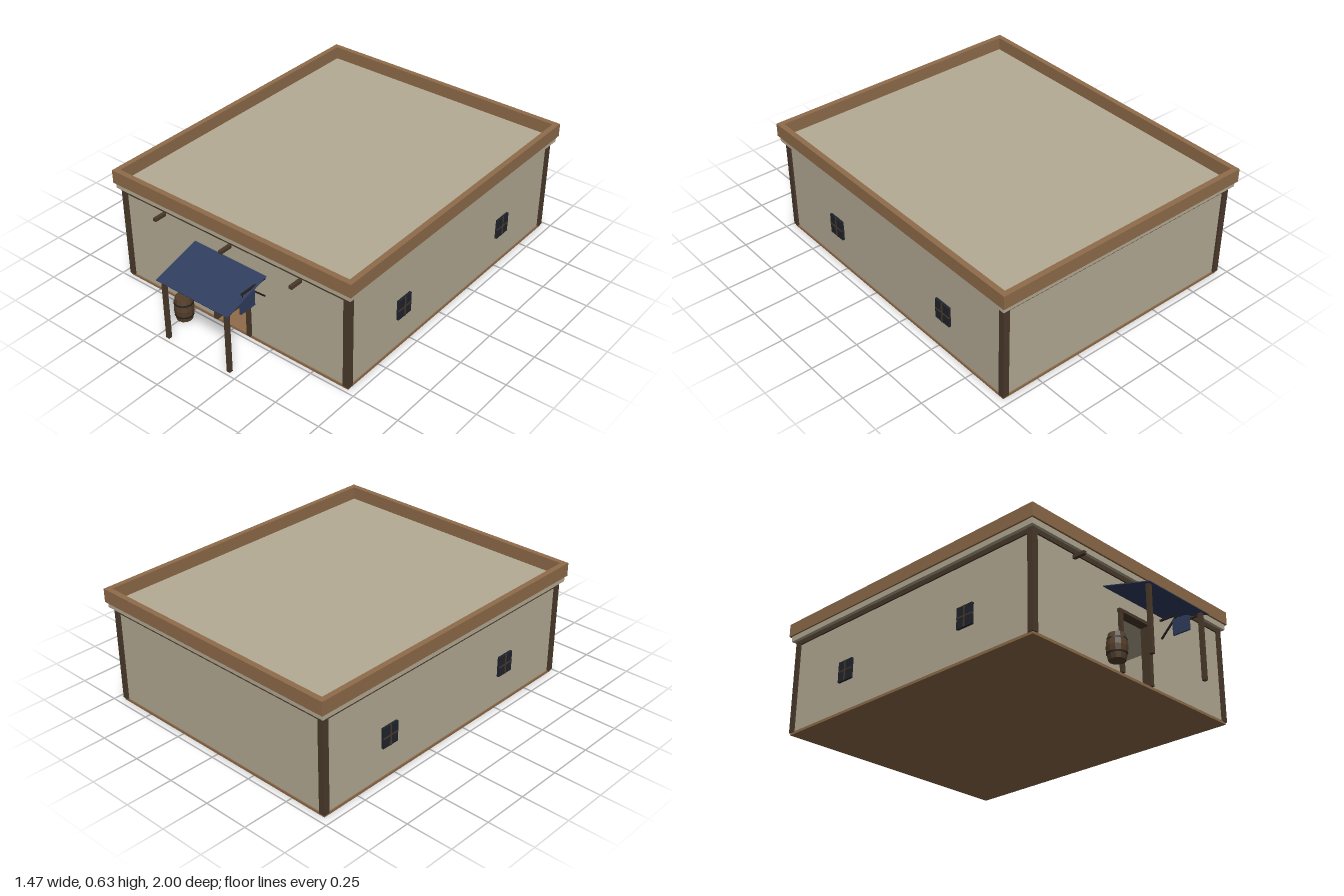
import * as THREE from 'three';

const mat = (name, color) => Object.assign(new THREE.MeshStandardMaterial({ color }), { name });

export function createModel() {
  const plaster = mat('plaster', 0xb5ab95);
  const wood = mat('wood', 0x8f6c4a);
  const darkWood = mat('dark wood', 0x4a392b);
  const blue = mat('blue cloth', 0x303d5f);
  const glass = mat('window glass', 0x20242c);
  const iron = mat('iron', 0x25221f);
  const barrelWood = mat('barrel wood', 0x553f2a);
  barrelWood.flatShading = true;

  const model = new THREE.Group();
  model.name = 'tavern';

  // Box given by its minimum and maximum corners
  function box(name, material, [x0, y0, z0], [x1, y1, z1], parent = model) {
    const mesh = new THREE.Mesh(new THREE.BoxGeometry(x1 - x0, y1 - y0, z1 - z0), material);
    mesh.position.set((x0 + x1) / 2, (y0 + y1) / 2, (z0 + z1) / 2);
    mesh.name = name;
    parent.add(mesh);
    return mesh;
  }
  // Square bar between two points in a plane of constant x
  function bar(name, material, x, [y0, z0], [y1, z1], size, parent = model) {
    const length = Math.hypot(y1 - y0, z1 - z0);
    const mesh = new THREE.Mesh(new THREE.BoxGeometry(size, size, length), material);
    mesh.position.set(x, (y0 + y1) / 2, (z0 + z1) / 2);
    mesh.rotation.x = -Math.atan2(y1 - y0, z1 - z0);
    mesh.name = name;
    parent.add(mesh);
    return mesh;
  }

  // Floor and hollow walls
  box('floor', wood, [-0.705, 0, -0.965], [0.705, 0.014, 0.73]);
  const W = 0.7, B = -0.96, F = 0.725, T = 0.53, t = 0.03;
  box('backWall', plaster, [-W, 0.014, B], [W, T, B + t]);
  for (const s of [-1, 1]) {
    const a = s < 0 ? -W : W - t;
    box('sideWall', plaster, [a, 0.014, B + t], [a + t, T, F - t]);
    const f = s < 0 ? -W : 0.1;
    box('frontWall', plaster, [f, 0.014, F - t], [f + W - 0.1, T, F]);
  }
  box('wallOverDoor', plaster, [-0.1, 0.33, F - t], [0.1, T, F]);

  // Corner posts and top beams
  for (const x of [-0.71, 0.677])
    for (const z of [-0.97, 0.702]) box('cornerPost', darkWood, [x, 0.012, z], [x + 0.033, T, z + 0.033]);
  for (const x of [-0.708, 0.678]) box('sideBeam', darkWood, [x, 0.505, -0.968], [x + 0.03, T, 0.733]);
  for (const z of [-0.968, 0.703]) box('endBeam', darkWood, [-0.677, 0.505, z], [0.677, T, z + 0.03]);

  // Roof slab with raised rim
  box('roof', plaster, [-0.728, T, -0.988], [0.728, 0.562, 0.75]);
  for (const x of [-0.737, 0.708]) box('parapetSide', wood, [x, 0.56, -1], [x + 0.029, 0.632, 0.76]);
  for (const z of [-1, 0.731]) box('parapetEnd', wood, [-0.708, 0.56, z], [0.708, 0.632, z + 0.029]);

  // Beam ends above the entrance
  for (const x of [-0.425, 0, 0.425]) box('beamEnd', darkWood, [x - 0.009, 0.481, F], [x + 0.009, 0.498, 0.795]);

  // Side windows: dark panes with thin crossing bars
  for (const s of [-1, 1])
    for (const z of [0.31, -0.54]) {
      const win = new THREE.Group();
      win.name = 'window';
      win.position.set(s * 0.707, 0.23, z);
      box('panes', glass, [-0.006, -0.055, -0.05], [0.006, 0.055, 0.05], win);
      box('uprightBar', darkWood, [-0.009, -0.055, -0.004], [0.009, 0.055, 0.004], win);
      box('crossBar', darkWood, [-0.008, -0.004, -0.05], [0.008, 0.004, 0.05], win);
      model.add(win);
    }

  // Door frame and door standing open inwards
  for (const x of [-0.118, 0.095]) box('doorJamb', darkWood, [x, 0.014, 0.69], [x + 0.022, 0.34, 0.74]);
  box('doorLintel', darkWood, [-0.122, 0.325, 0.69], [0.118, 0.342, 0.742]);
  box('door', darkWood, [-0.094, 0.018, 0.51], [-0.07, 0.318, 0.69]);
  for (const y of [0.055, 0.265]) box('doorStrap', iron, [-0.071, y, 0.53], [-0.065, y + 0.018, 0.69]);

  // Bar counter, shelf and bottle inside
  box('counter', darkWood, [-0.3, 0.014, 0.22], [0.3, 0.168, 0.32]);
  box('counterTop', iron, [-0.31, 0.168, 0.21], [0.31, 0.18, 0.335]);
  box('shelf', darkWood, [-0.3, 0.236, -0.93], [0.3, 0.25, -0.86]);
  const bottle = new THREE.Mesh(new THREE.CylinderGeometry(0.006, 0.008, 0.035, 8), wood);
  bottle.position.set(0.022, 0.2675, -0.89);
  bottle.name = 'bottle';
  model.add(bottle);

  // Sloping porch canopy on two posts
  const canopy = box('canopy', blue, [-0.225, -0.002, -0.14], [0.225, 0.002, 0.14]);
  canopy.position.set(0, 0.382, 0.863);
  canopy.rotation.x = Math.atan2(0.075, 0.27);
  for (const x of [-0.198, 0.196]) box('porchPost', darkWood, [x - 0.01, 0, 0.962], [x + 0.01, 0.348, 0.982]);

  // Hanging sign on an iron bracket
  bar('signPole', iron, 0.21, [0.4, 0.725], [0.4, 0.885], 0.009);
  bar('signBrace', iron, 0.21, [0.3, 0.728], [0.4, 0.83], 0.008);
  box('signBoard', blue, [0.205, 0.294, 0.8], [0.215, 0.378, 0.897]);
  for (const z of [0.82, 0.875]) box('signHook', iron, [0.208, 0.375, z], [0.212, 0.4, z + 0.004]);

  // Barrel beside the porch
  const barrel = new THREE.Group();
  barrel.name = 'barrel';
  barrel.position.set(-0.245, 0, 0.815);
  const profile = [[0, 0], [0.041, 0], [0.049, 0.035], [0.052, 0.065], [0.049, 0.095], [0.041, 0.13], [0.039, 0.124], [0, 0.124]];
  const staves = new THREE.Mesh(new THREE.LatheGeometry(profile.map(p => new THREE.Vector2(...p)), 12), barrelWood);
  staves.name = 'staves';
  barrel.add(staves);
  for (const [y, bottom, top] of [[0.03, 0.0485, 0.0505], [0.1, 0.0505, 0.0485]]) {
    const hoop = new THREE.Mesh(new THREE.CylinderGeometry(top, bottom, 0.01, 12, 1, true), iron);
    hoop.position.y = y;
    hoop.name = 'hoop';
    barrel.add(hoop);
  }
  model.add(barrel);

  return model;
}
